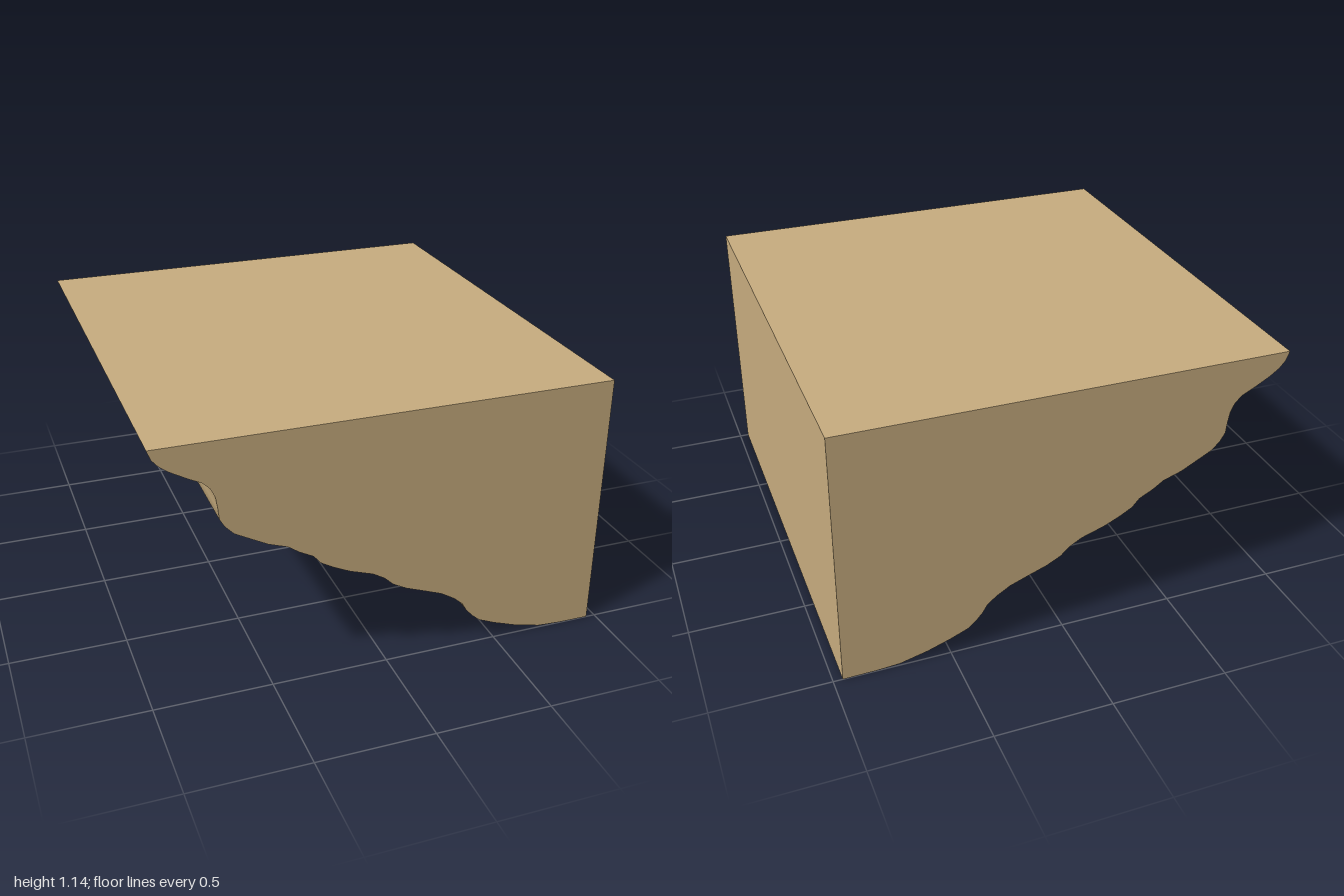
import * as THREE from 'three';
import { toCreasedNormals } from 'three/addons/utils/BufferGeometryUtils.js';

// Moulded underside, from the tip of the overhang down to the foot
const PROFILE = [
  [-0.96, 1.14], [-0.945, 1.1], [-0.92, 1.07], [-0.88, 1.04], [-0.81, 1.0],
  [-0.76, 0.975], [-0.73, 0.945], [-0.712, 0.905], [-0.705, 0.86], [-0.7, 0.81],
  [-0.68, 0.775], [-0.645, 0.738], [-0.59, 0.708], [-0.51, 0.665], [-0.43, 0.637],
  [-0.385, 0.605], [-0.325, 0.573], [-0.295, 0.537], [-0.24, 0.505], [-0.17, 0.472],
  [-0.07, 0.438], [-0.02, 0.408], [0.02, 0.37], [0.08, 0.338], [0.16, 0.308],
  [0.24, 0.277], [0.3, 0.24], [0.34, 0.205], [0.36, 0.17], [0.39, 0.135],
  [0.425, 0.105], [0.5, 0.073], [0.6, 0.038], [0.72, 0.008], [0.82, 0.002], [0.96, 0],
];

export function createModel() {
  const wood = new THREE.MeshStandardMaterial({ color: 0xc8ad7f });
  wood.name = 'tan wood';

  // Closed outline: underside, straight back, flat top
  const outline = new THREE.Shape(PROFILE.map(([x, y]) => new THREE.Vector2(x, y)));
  outline.lineTo(0.96, 1.14);
  outline.closePath();

  // Run the cross-section along the length of the moulding
  const geometry = new THREE.ExtrudeGeometry(outline, { depth: 2, bevelEnabled: false });
  geometry.translate(0, 0, -1);

  const moulding = new THREE.Mesh(toCreasedNormals(geometry, 0.6), wood);
  moulding.name = 'corniceMoulding';

  const model = new THREE.Group();
  model.name = 'cornice';
  model.add(moulding);
  return model;
}
